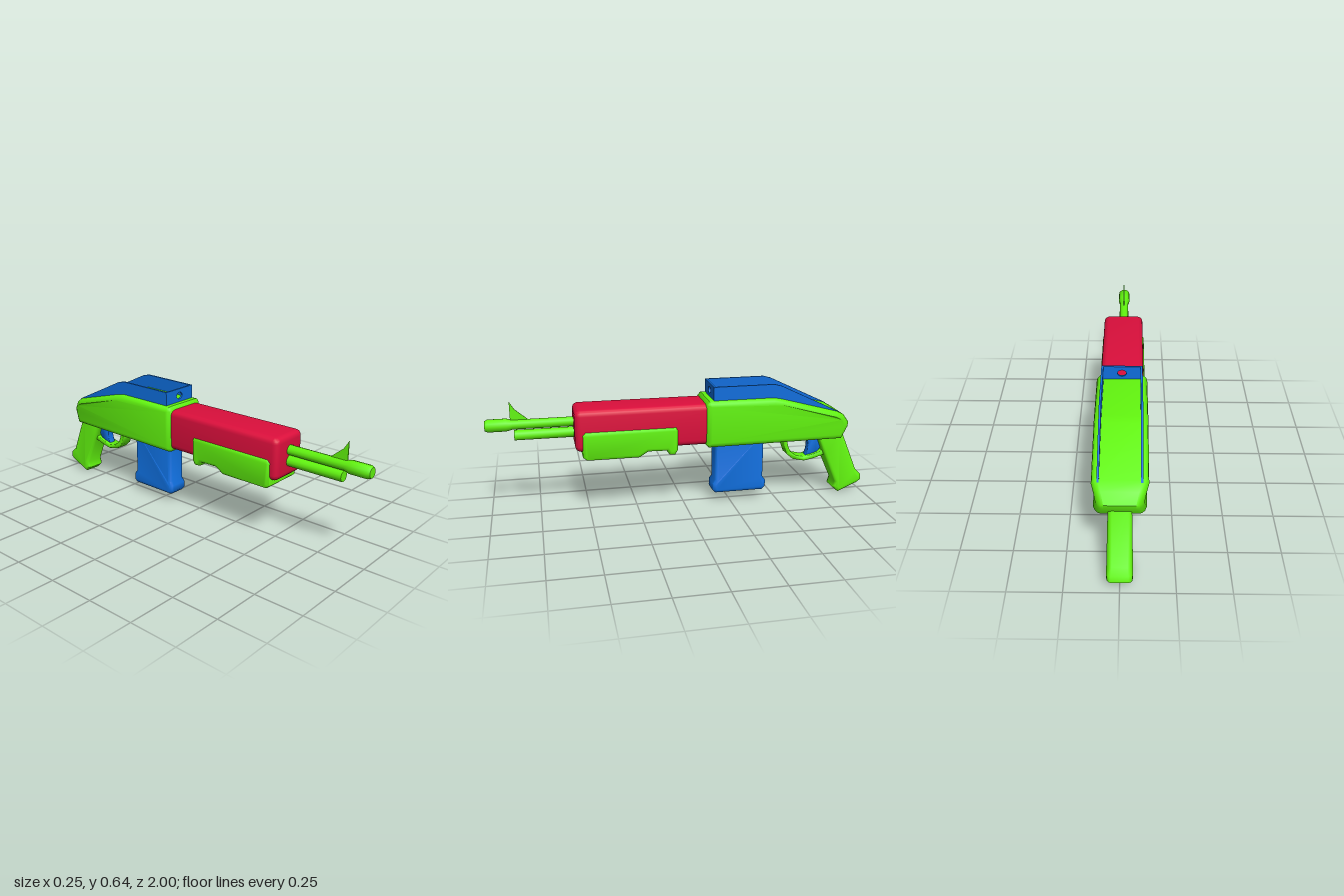
import * as THREE from 'three';
import { toCreasedNormals } from 'three/addons/utils/BufferGeometryUtils.js';
import { RoundedBoxGeometry } from 'three/addons/geometries/RoundedBoxGeometry.js';

const green = new THREE.MeshStandardMaterial({ color: 0x62f50f });
const red = new THREE.MeshStandardMaterial({ color: 0xdc0f3c });
const blue = new THREE.MeshStandardMaterial({ color: 0x0f6edc });

const shapeOf = (points) => new THREE.Shape(points.map(([a, b]) => new THREE.Vector2(a, b)));

// Side profile of [z, y] points, extruded across x with rounded side edges
function profile(points, halfWidth, bevel = 0) {
  const geometry = new THREE.ExtrudeGeometry(shapeOf(points), {
    depth: 2 * (halfWidth - bevel),
    bevelEnabled: bevel > 0,
    bevelThickness: bevel,
    bevelSize: bevel,
    bevelOffset: -bevel,
    bevelSegments: 3,
  });
  return geometry.translate(0, 0, bevel - halfWidth).rotateY(-Math.PI / 2);
}

// Scale x of every vertex by a rule of y and z
function widen(geometry, rule) {
  const p = geometry.attributes.position;
  for (let i = 0; i < p.count; i++) p.setX(i, p.getX(i) * rule(p.getY(i), p.getZ(i)));
  return geometry;
}

// Round bar along z from [radius, z] points
const bar = (points, y) => new THREE.LatheGeometry(
  points.map(([r, z]) => new THREE.Vector2(r, z)), 12,
).rotateX(Math.PI / 2).translate(0, y, 0);

export function createModel() {
  const model = new THREE.Group();
  model.name = 'toyGun';
  const add = (name, geometry, material, crease = 0.8) => {
    const mesh = new THREE.Mesh(toCreasedNormals(geometry, crease), material);
    mesh.name = name;
    model.add(mesh);
  };

  // Receiver, narrowing at the rear
  add('receiver', widen(profile([
    [-0.1, 0.345], [-0.1, 0.56], [-0.115, 0.577], [-0.46, 0.577], [-0.505, 0.568],
    [-0.81, 0.485], [-0.855, 0.46], [-0.89, 0.415], [-0.885, 0.39], [-0.845, 0.33], [-0.115, 0.33],
  ], 0.125, 0.028), (y, z) => 1 - 0.28 * THREE.MathUtils.clamp((-0.81 - z) / 0.08, 0, 1)), green);

  // Front housing and the foregrip under it
  add('frontHousing', new RoundedBoxGeometry(0.214, 0.215, 0.7, 3, 0.03)
    .translate(0, 0.4525, 0.215), red);
  add('foregrip', profile([
    [0.53, 0.435], [0.515, 0.452], [0.055, 0.452], [0.045, 0.435], [0.045, 0.33], [0.06, 0.305],
    [0.09, 0.305], [0.105, 0.328], [0.2, 0.33], [0.245, 0.302], [0.51, 0.302], [0.53, 0.318],
  ], 0.116, 0.018), green);

  // Barrel with a thicker muzzle, tube below and front sight
  add('barrel', bar([
    [0, 0.5], [0.025, 0.5], [0.025, 0.865], [0.033, 0.895], [0.033, 0.985], [0.026, 1], [0, 1],
  ], 0.483), green);
  add('lowerTube', bar([[0, 0.5], [0.027, 0.5], [0.027, 0.86], [0, 0.86]], 0.428), green);
  add('frontSight', profile([
    [0.875, 0.49], [0.875, 0.6], [0.85, 0.56], [0.785, 0.505], [0.785, 0.49],
  ], 0.0025), green);

  // Top rail: two side walls and a front plate with a sight hole
  const wall = [
    [-0.14, 0.54], [-0.14, 0.647], [-0.46, 0.647], [-0.5, 0.636], [-0.82, 0.482],
    [-0.79, 0.465], [-0.5, 0.54],
  ];
  for (const side of [1, -1]) {
    add(side > 0 ? 'railLeft' : 'railRight',
      profile(wall, 0.005).translate(side * 0.095, 0, 0), blue, 0.4);
  }
  const plate = shapeOf([[-0.1, 0.54], [0.1, 0.54], [0.1, 0.647], [-0.1, 0.647]]);
  plate.holes.push(new THREE.Path().absellipse(0, 0.61, 0.022, 0.018, 0, Math.PI * 2, true));
  add('railPlate', new THREE.ExtrudeGeometry(plate, {
    depth: 0.01, bevelEnabled: false, curveSegments: 6,
  }).translate(0, 0, -0.15), blue);

  // Magazine with a flared foot
  const flare = (y) => (y < 0.115 ? 1.1 : 1);
  add('magazine', widen(profile([
    [-0.165, 0.38], [-0.165, 0.125], [-0.152, 0.105], [-0.152, 0.07], [-0.168, 0.053],
    [-0.427, 0.053], [-0.445, 0.07], [-0.445, 0.105], [-0.43, 0.125], [-0.43, 0.38],
  ], 0.053, 0.018), flare), blue);

  // Pistol grip with a flared foot
  add('grip', widen(profile([
    [-0.72, 0.36], [-0.775, 0.225], [-0.848, 0.065], [-0.838, 0.03], [-0.868, 0.004],
    [-0.975, 0.05], [-1, 0.068], [-0.995, 0.1], [-0.968, 0.125], [-0.865, 0.37],
  ], 0.053, 0.018), flare), green);

  // Trigger guard and trigger
  add('triggerGuard', profile([
    [-0.542, 0.35], [-0.548, 0.285], [-0.565, 0.24], [-0.6, 0.21], [-0.665, 0.195], [-0.72, 0.205],
    [-0.8, 0.23], [-0.8, 0.26], [-0.72, 0.232], [-0.665, 0.219], [-0.615, 0.23], [-0.585, 0.255],
    [-0.57, 0.29], [-0.565, 0.35],
  ], 0.036, 0.005), green);
  add('trigger', profile([
    [-0.675, 0.35], [-0.69, 0.29], [-0.688, 0.25], [-0.675, 0.217], [-0.74, 0.23],
    [-0.765, 0.265], [-0.735, 0.35],
  ], 0.02, 0.005), blue);

  return model;
}
